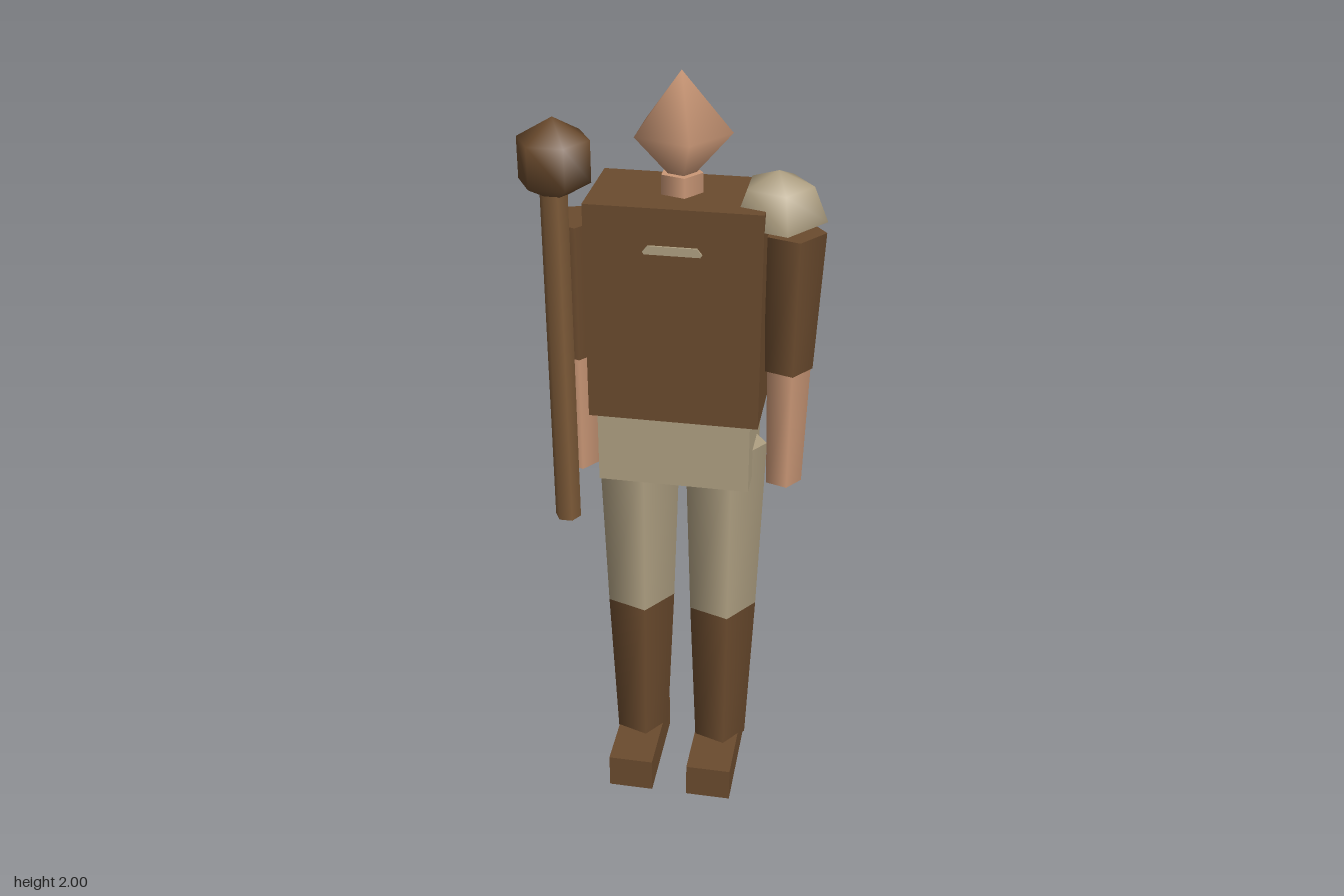
import * as THREE from 'three';

const mat = (name, color, side = THREE.FrontSide) => {
  const m = new THREE.MeshStandardMaterial({ color, side });
  m.name = name;
  return m;
};

export function createModel() {
  const brown = mat('leather brown', 0x6b4b2e);
  const wood = mat('staff wood', 0x7d5a38);
  const skin = mat('skin', 0xcb9877);
  const beige = mat('beige cloth', 0xb0a183, THREE.DoubleSide);

  const model = new THREE.Group();
  model.name = 'figure';
  const CX = 0.004, CZ = -0.043; // body axis

  const add = (name, geometry, material, x, y, z) => {
    const mesh = new THREE.Mesh(geometry, material);
    mesh.name = name;
    mesh.position.set(x, y, z);
    model.add(mesh);
    return mesh;
  };
  const box = (name, material, w, y0, y1, d, x, z) =>
    add(name, new THREE.BoxGeometry(w, y1 - y0, d), material, x, (y0 + y1) / 2, z);
  // Tapered limb with one corner facing +x
  const limb = (name, material, rTop, rBottom, y0, y1, x, z = CZ, sides = 5) => {
    const g = new THREE.CylinderGeometry(rTop, rBottom, y1 - y0, sides).rotateY(Math.PI / 2);
    return add(name, g, material, x, (y0 + y1) / 2, z);
  };

  // Trunk
  box('torso', brown, 0.421, 1.166, 1.717, 0.244, CX, -0.044);
  box('hips', beige, 0.381, 0.98, 1.175, 0.222, CX, -0.04);
  limb('neck', skin, 0.052, 0.052, 1.70, 1.765, CX);

  // Head: five-sided double pyramid
  const headGeo = new THREE.SphereGeometry(0.12, 5, 2).rotateY(Math.PI).scale(1, 1.15, 1);
  add('head', headGeo, skin, CX, 1.862, -0.045);

  // Arms and legs
  for (const [side, s] of [['left', 1], ['right', -1]]) {
    const armX = CX + s * 0.265;
    limb(side + 'Sleeve', brown, 0.079, 0.062, 1.283, 1.637, armX);
    limb(side + 'Forearm', skin, 0.057, 0.048, 0.96, 1.283, armX);
    const legX = CX + s * 0.112;
    limb(side + 'Thigh', beige, 0.11, 0.094, 0.556, 1.06, legX);
    limb(side + 'Boot', brown, 0.094, 0.075, 0.092, 0.556, legX);
    box(side + 'Foot', brown, 0.122, 0, 0.1, 0.284, CX + s * 0.11, 0.001);
  }

  // Open half-dome shoulder guard on the left
  const dome = new THREE.SphereGeometry(0.117, 5, 2, 0, Math.PI * 2, 0, Math.PI / 2).rotateY(Math.PI);
  add('shoulderGuard', dome, beige, 0.233, 1.672, -0.023);

  // Chest clasp
  const clasp = new THREE.Shape([
    [-0.066, -0.01], [0.066, -0.01], [0.07, -0.004], [0.058, 0.011], [-0.058, 0.011], [-0.07, -0.004],
  ].map(([x, y]) => new THREE.Vector2(x, y)));
  const claspGeo = new THREE.ExtrudeGeometry(clasp, { depth: 0.006, bevelEnabled: false });
  add('chestClasp', claspGeo, beige, CX, 1.616, 0.077);

  // Staff with a faceted knob
  limb('staffShaft', wood, 0.033, 0.033, 0.874, 1.78, -0.267, 0.091, 6);
  add('staffKnob', new THREE.SphereGeometry(0.098, 6, 3), brown, -0.264, 1.822, 0.088);

  return model;
}
